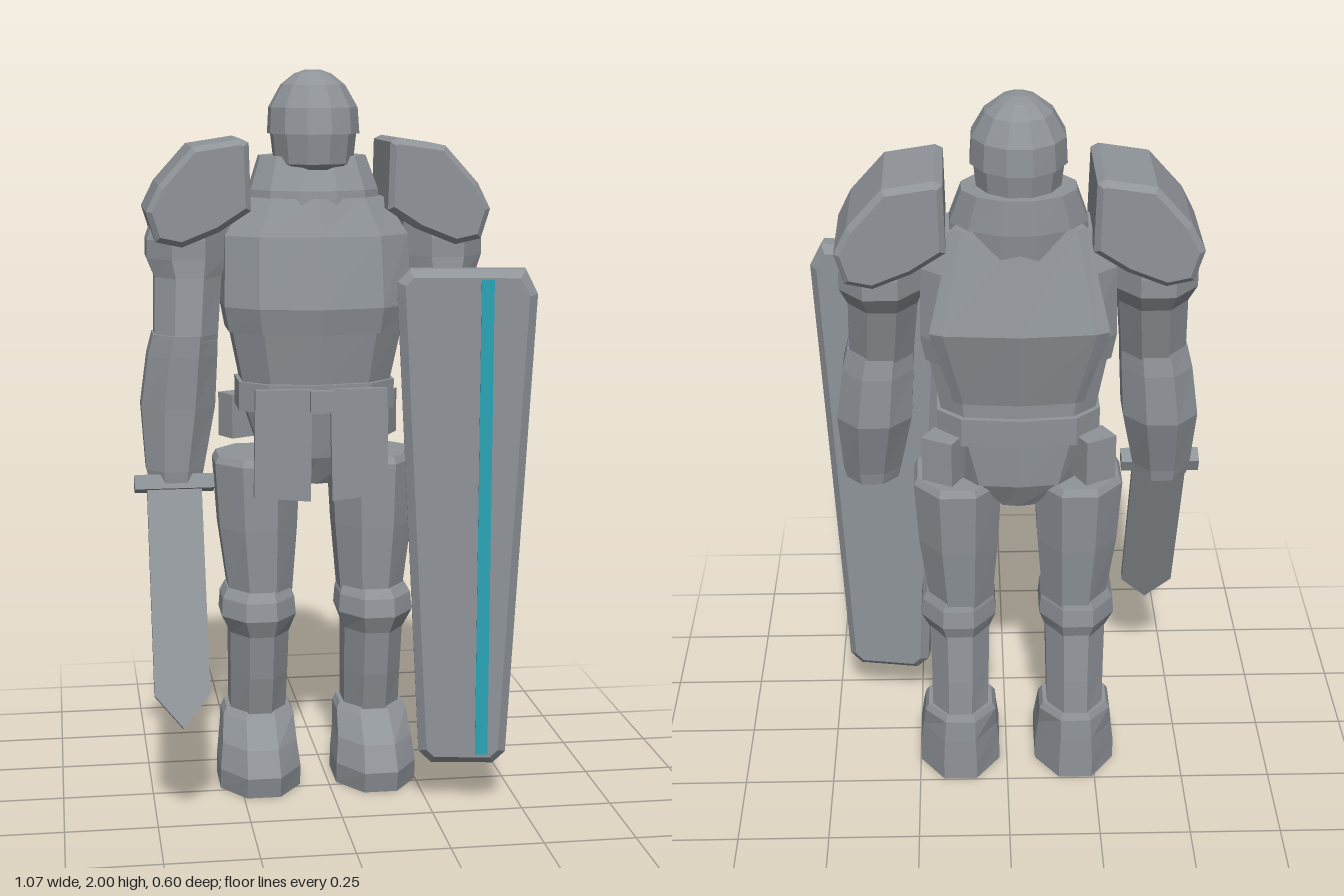
import * as THREE from 'three';

const steel = new THREE.MeshStandardMaterial({ color: 0x8f9499 });
steel.name = 'steel grey';
steel.flatShading = true;
const teal = new THREE.MeshStandardMaterial({ color: 0x2aa5b5 });
teal.name = 'teal';

// Unit polygon with flat sides facing front and sides
const ngon = (n) => Array.from({ length: n }, (_, i) => {
  const a = ((i + 0.5) / n) * Math.PI * 2, r = 1 / Math.cos(Math.PI / n);
  return [Math.cos(a) * r, Math.sin(a) * r];
});
const OCT = ngon(8), ROUND = ngon(12);
// Angular torso section with a ridge at front and back
const TORSO = [[1, 0.4], [0.66, 0.85], [0, 1], [-0.66, 0.85], [-1, 0.4],
  [-1, -0.5], [-0.7, -0.9], [0, -1], [0.7, -0.9], [1, -0.5]];
// Thin folded section for the back plate
const PLATE = [[1, -0.2], [0.9, 1], [-0.9, 1], [-1, -0.2], [-0.85, -0.6], [0, -1], [0.85, -0.6]];

function mesh(parent, name, geometry, material = steel) {
  const m = new THREE.Mesh(geometry, material);
  m.name = name;
  parent.add(m);
  return m;
}

// Closed loft; rings run upwards as [y, centreX, centreZ, radiusX, radiusZ]
function loft(parent, name, rings, section = OCT, side = 1) {
  const pos = [], idx = [], n = section.length, last = rings.length - 1;
  for (const [y, cx, cz, rx, rz] of rings)
    for (const [u, v] of section) pos.push(cx * side + u * rx, y, cz + v * rz);
  const bottom = pos.length / 3, top = bottom + 1;
  for (const k of [0, last]) pos.push(rings[k][1] * side, rings[k][0], rings[k][2]);
  for (let i = 0; i < n; i++) {
    const j = (i + 1) % n;
    for (let k = 0; k < last; k++) {
      const a = k * n + i, b = k * n + j;
      idx.push(a, a + n, b, b, a + n, b + n);
    }
    idx.push(bottom, i, j, top, last * n + j, last * n + i);
  }
  const g = new THREE.BufferGeometry();
  g.setAttribute('position', new THREE.Float32BufferAttribute(pos, 3));
  g.setIndex(idx);
  g.computeVertexNormals();
  return mesh(parent, name, g);
}

function box(parent, name, w, h, d, x, y, z) {
  const m = mesh(parent, name, new THREE.BoxGeometry(w, h, d));
  m.position.set(x, y, z);
  return m;
}

// Bevelled plate from an outline, centred on z = 0
function slab(parent, name, points, depth, bevel) {
  const shape = new THREE.Shape(points.map(([x, y]) => new THREE.Vector2(x, y)));
  const g = new THREE.ExtrudeGeometry(shape, {
    depth: depth - 2 * bevel, bevelEnabled: bevel > 0, bevelThickness: bevel,
    bevelSize: bevel, bevelOffset: -bevel, bevelSegments: 1,
  });
  g.translate(0, 0, bevel - depth / 2);
  return mesh(parent, name, g);
}

export function createModel() {
  const model = new THREE.Group();
  model.name = 'armouredKnight';
  const body = new THREE.Group();
  body.name = 'body';
  body.position.x = -0.03;
  model.add(body);

  // Head
  loft(body, 'face', [[1.715, 0, -0.1, 0.06, 0.07], [1.75, 0, -0.11, 0.105, 0.12],
    [1.84, 0, -0.112, 0.115, 0.132]], ROUND);
  loft(body, 'helmetDome', [[1.83, 0, -0.11, 0.122, 0.142], [1.9, 0, -0.115, 0.118, 0.132],
    [1.96, 0, -0.117, 0.085, 0.1], [1.99, 0, -0.118, 0.048, 0.06], [2, 0, -0.118, 0.02, 0.025]], ROUND);

  // Torso
  loft(body, 'collar', [[1.6, 0, -0.11, 0.18, 0.14], [1.68, 0, -0.12, 0.175, 0.14],
    [1.77, 0, -0.14, 0.145, 0.115]], ROUND);
  loft(body, 'breastplate', [[1.3, 0, -0.083, 0.242, 0.168], [1.37, 0, -0.08, 0.255, 0.18],
    [1.56, 0, -0.095, 0.25, 0.16], [1.66, 0, -0.105, 0.19, 0.13]], TORSO);
  loft(body, 'waist', [[1.14, 0, -0.1, 0.2, 0.14], [1.34, 0, -0.085, 0.24, 0.158]], TORSO);
  loft(body, 'backPlate', [[1.2, 0, -0.21, 0.17, 0.035], [1.42, 0, -0.26, 0.23, 0.04],
    [1.68, 0, -0.2, 0.17, 0.04]], PLATE);
  loft(body, 'belt', [[1.08, 0, -0.1, 0.215, 0.152], [1.16, 0, -0.1, 0.215, 0.155]], TORSO);
  loft(body, 'pelvis', [[0.87, 0, -0.11, 0.06, 0.08], [0.95, 0, -0.11, 0.15, 0.12],
    [1.1, 0, -0.1, 0.2, 0.14]], TORSO);
  box(body, 'buckle', 0.065, 0.055, 0.04, 0, 1.12, 0.06);

  for (const s of [1, -1]) {
    const side = s > 0 ? 'left' : 'right';
    const part = (name, rings) => loft(body, side + name, rings, OCT, s);

    // Shoulder guard
    const outline = [[0.185, 1.63], [0.19, 1.81], [0.21, 1.82], [0.34, 1.8], [0.43, 1.7],
      [0.465, 1.63], [0.44, 1.55], [0.37, 1.535], [0.27, 1.575]];
    const pts = outline.map(([x, y]) => [x * s, y]);
    slab(body, side + 'Pauldron', pts, 0.3, 0.015).position.z = -0.108;

    // Arm
    part('UpperArm', [[1.28, 0.36, -0.05, 0.085, 0.105], [1.45, 0.35, -0.09, 0.09, 0.115],
      [1.5, 0.352, -0.11, 0.108, 0.13], [1.55, 0.352, -0.11, 0.108, 0.13],
      [1.66, 0.33, -0.11, 0.09, 0.11]]);
    part('Forearm', [[0.895, 0.395, -0.03, 0.07, 0.075], [0.93, 0.395, -0.032, 0.078, 0.08],
      [1.1, 0.383, -0.06, 0.1, 0.11], [1.24, 0.37, -0.055, 0.094, 0.112],
      [1.3, 0.362, -0.05, 0.087, 0.108]]);

    // Leg
    part('Thigh', [[0.56, 0.157, -0.1, 0.088, 0.115], [0.75, 0.162, -0.108, 0.108, 0.13],
      [0.93, 0.163, -0.115, 0.118, 0.138], [0.95, 0.163, -0.115, 0.108, 0.128]]);
    part('Knee', [[0.45, 0.162, -0.09, 0.082, 0.118], [0.5, 0.165, -0.088, 0.104, 0.137],
      [0.55, 0.165, -0.09, 0.1, 0.13], [0.575, 0.163, -0.095, 0.088, 0.118]]);
    part('Shin', [[0.19, 0.163, -0.135, 0.078, 0.1], [0.32, 0.162, -0.115, 0.08, 0.112],
      [0.47, 0.162, -0.095, 0.083, 0.117]]);
    part('Boot', [[0, 0.165, -0.085, 0.113, 0.16], [0.06, 0.165, -0.078, 0.113, 0.167],
      [0.13, 0.165, -0.095, 0.105, 0.15], [0.195, 0.163, -0.13, 0.1, 0.113],
      [0.215, 0.163, -0.135, 0.09, 0.1]]);

    // Hanging flap and belt pouch
    const flap = slab(body, side + 'Flap',
      [[0.025, 1.15], [0.18, 1.15], [0.185, 0.855], [0.03, 0.84]].map(([x, y]) => [x * s, y]), 0.02, 0);
    flap.position.z = 0.05;
    const pouch = box(body, side + 'Pouch', 0.09, 0.125, 0.07, 0.2 * s, 1.04, -0.22);
    pouch.rotation.y = -0.5 * s;
  }

  // Sword, pointing down and forward
  const sword = new THREE.Group();
  sword.name = 'sword';
  sword.position.set(-0.43, 0.895, 0.02);
  sword.rotation.x = -0.41;
  model.add(sword);
  box(sword, 'swordGuard', 0.215, 0.04, 0.05, 0, 0, 0);
  box(sword, 'swordGrip', 0.045, 0.12, 0.04, 0, 0.06, 0);
  slab(sword, 'swordBlade', [[-0.074, 0], [-0.074, -0.575], [0, -0.665], [0.074, -0.575], [0.074, 0]], 0.024, 0);

  // Tall shield, turned slightly outwards
  const shield = new THREE.Group();
  shield.name = 'shield';
  shield.position.set(0.343, 0, 0.178);
  shield.rotation.y = -0.16;
  model.add(shield);
  slab(shield, 'shieldPlate', [[-0.185, 1.45], [-0.152, 1.485], [0.152, 1.485], [0.185, 1.42],
    [0.119, 0.155], [0.085, 0.122], [-0.085, 0.122], [-0.119, 0.155], [-0.185, 1.42]], 0.085, 0.022);
  const stripe = mesh(shield, 'shieldStripe', new THREE.BoxGeometry(0.034, 1.305, 0.008), teal);
  stripe.position.set(0.052, 0.807, 0.044);

  return model;
}
